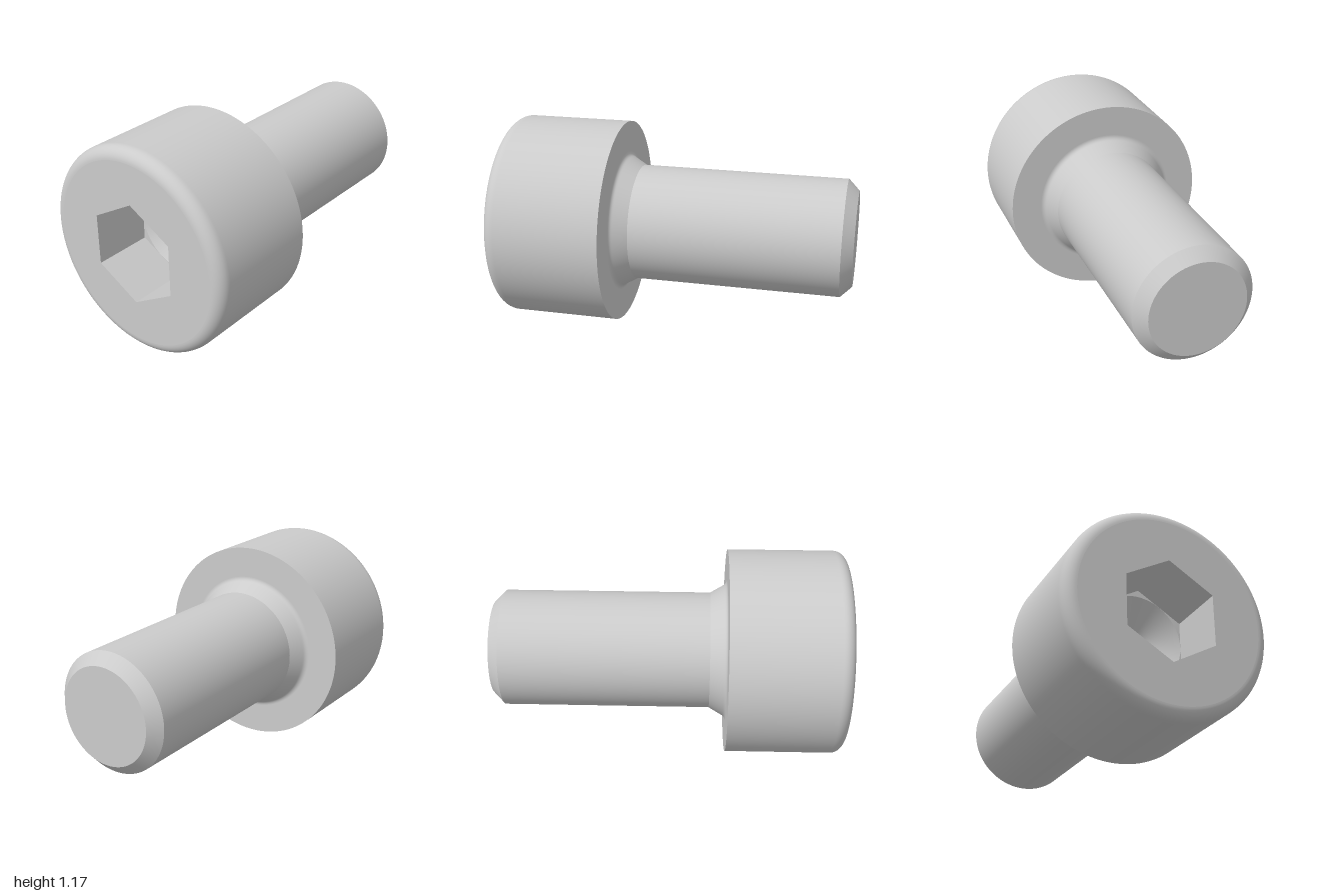
import * as THREE from 'three';

const HEAD_R = 0.583, SHANK_R = 0.333, ROUND = 0.067;
const HEX_R = 0.25 / Math.cos(Math.PI / 6), CONE_R = 0.249;
const FLOOR_Z = 0.667, UNDER_Z = 0.333;

const material = new THREE.MeshStandardMaterial({ color: 0xcccccc });
const flatMaterial = new THREE.MeshStandardMaterial({ color: 0xcccccc, flatShading: true });

// Points on an arc in the (radius, z) plane
function arc(r, z, size, from, to, steps = 12) {
  return Array.from({ length: steps + 1 }, (_, i) => {
    const a = from + (to - from) * i / steps;
    return [r + size * Math.cos(a), z + size * Math.sin(a)];
  });
}

// Surface of revolution about z; profile runs back to front for outward faces
function turned(name, profile, segments = 128, mat = material) {
  const geo = new THREE.LatheGeometry(profile.map(p => new THREE.Vector2(...p)), segments);
  geo.rotateX(Math.PI / 2);
  const mesh = new THREE.Mesh(geo, mat);
  mesh.name = name;
  return mesh;
}

// Flat face looking towards +z
function flat(name, outline, hole, z) {
  const shape = new THREE.Shape(outline);
  shape.holes.push(new THREE.Path(hole));
  const mesh = new THREE.Mesh(new THREE.ShapeGeometry(shape), material);
  mesh.position.z = z;
  mesh.name = name;
  return mesh;
}

// Regular polygon with a corner at the top
function polygon(r, n) {
  return Array.from({ length: n }, (_, i) => {
    const a = Math.PI / 2 + i / n * Math.PI * 2;
    return new THREE.Vector2(r * Math.cos(a), r * Math.sin(a));
  });
}

export function createModel() {
  const screw = new THREE.Group();
  screw.name = 'socketHeadScrew';

  // Shank with chamfered tip
  screw.add(
    turned('shankTip', [[0, -1], [0.27, -1]]),
    turned('tipChamfer', [[0.27, -1], [SHANK_R, -0.937]]),
    turned('shank', [[SHANK_R, -0.937], [SHANK_R, 0.238]]),
  );

  // Flared neck that blends into the underside of the head
  const blend = arc(0.407, 0.3, 0.033, Math.PI * 5 / 6, Math.PI / 2, 8);
  screw.add(turned('neck', [[SHANK_R, 0.238], [0.375, 0.311], ...blend]));

  // Head: underside, side with rounded front rim, front face
  screw.add(
    turned('headUnderside', [[0.407, UNDER_Z], [HEAD_R, UNDER_Z]]),
    turned('headSide', [[HEAD_R, UNDER_Z], [HEAD_R, 1 - ROUND - 0.005],
      ...arc(HEAD_R - ROUND, 1 - ROUND, ROUND, 0, Math.PI / 2)]),
    flat('headFace', polygon(HEAD_R - ROUND, 128), polygon(HEX_R, 6), 1),
  );

  // Hexagonal socket with a drilled cone at the bottom
  screw.add(
    turned('socketWalls', [[HEX_R, 1], [HEX_R, FLOOR_Z]], 6, flatMaterial),
    flat('socketFloor', polygon(HEX_R, 6), polygon(CONE_R, 128), FLOOR_Z),
    turned('socketCone', [[CONE_R, FLOOR_Z], [0, FLOOR_Z - 0.144]]),
  );

  screw.position.y = HEAD_R;
  const model = new THREE.Group();
  model.add(screw);
  return model;
}
